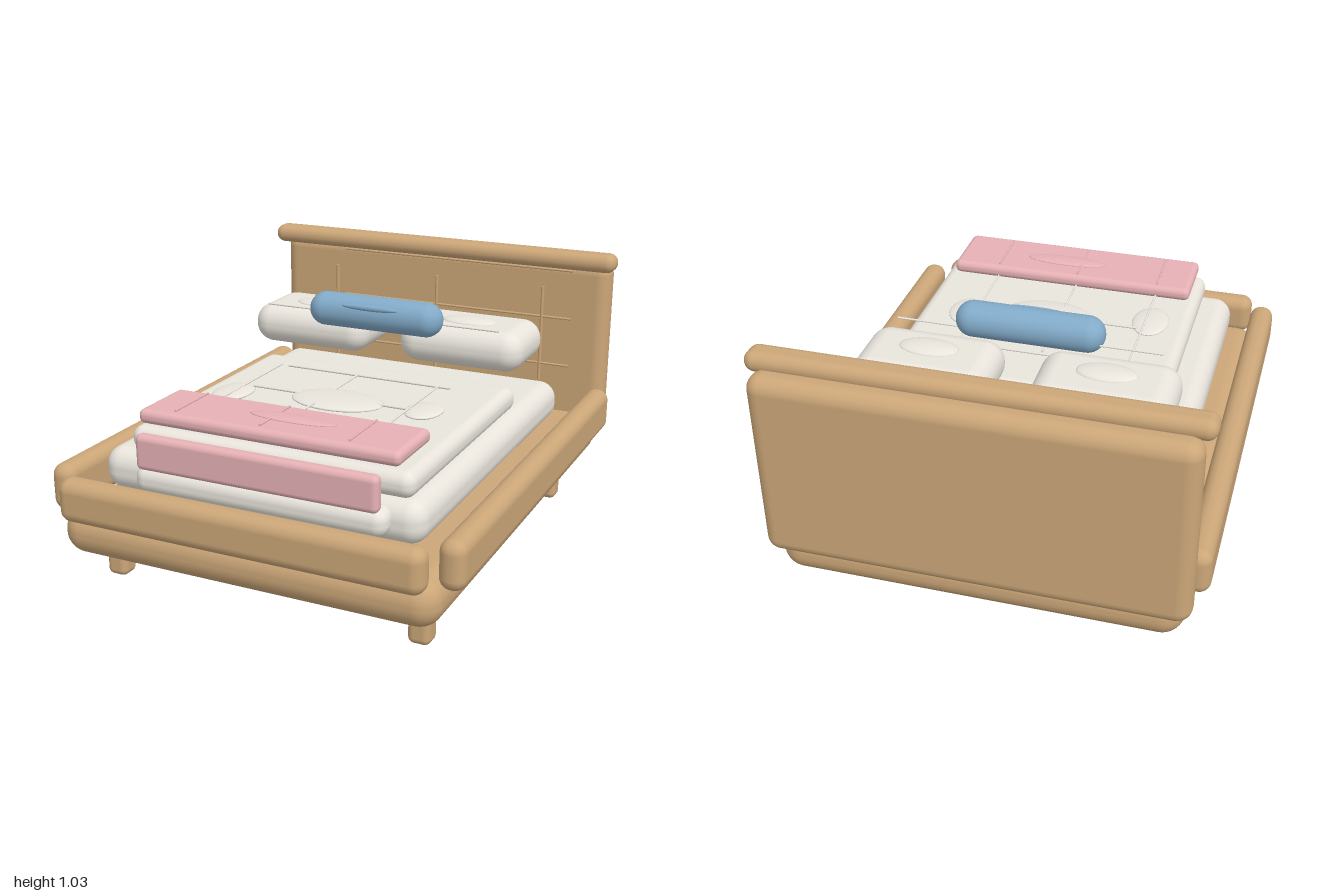
import * as THREE from 'three';
import { RoundedBoxGeometry } from 'three/addons/geometries/RoundedBoxGeometry.js';

const paint = (color) => new THREE.MeshStandardMaterial({ color });

export function createModel() {
  const model = new THREE.Group();
  model.name = 'bed';
  const wood = paint(0xcba678), linen = paint(0xe9e5dd), pink = paint(0xe6b1b5), blue = paint(0x82abc9);

  const add = (name, geometry, material, x, y, z) => {
    const mesh = new THREE.Mesh(geometry, material);
    mesh.name = name;
    mesh.position.set(x, y, z);
    model.add(mesh);
    return mesh;
  };

  // Soft-edged block given by its extents on each axis
  const block = (name, material, [x0, x1], [y0, y1], [z0, z1], radius) =>
    add(name, new RoundedBoxGeometry(x1 - x0, y1 - y0, z1 - z0, 5, radius), material,
      (x0 + x1) / 2, (y0 + y1) / 2, (z0 + z1) / 2);

  // Flattened oval tuft
  const oval = (name, material, x, y, z, rx, ry, rz) =>
    add(name, new THREE.SphereGeometry(1, 32, 16), material, x, y, z).scale.set(rx, ry, rz);

  // Thin straight seam or rod between two points
  const seam = (name, material, from, to, radius = 0.005) => {
    const a = new THREE.Vector3(...from), b = new THREE.Vector3(...to);
    const mid = a.clone().add(b).multiplyScalar(0.5);
    const mesh = add(name, new THREE.CylinderGeometry(radius, radius, a.distanceTo(b), 10), material, mid.x, mid.y, mid.z);
    mesh.quaternion.setFromUnitVectors(new THREE.Vector3(0, 1, 0), b.sub(a).normalize());
  };

  // Wooden frame
  block('base', wood, [-0.74, 0.74], [0.135, 0.315], [-0.965, 0.96], 0.085);
  block('headboard', wood, [-0.77, 0.77], [0.25, 0.985], [-1, -0.878], 0.055);
  block('headboardCap', wood, [-0.8, 0.8], [0.957, 1.035], [-0.925, -0.82], 0.038);
  block('footRail', wood, [-0.709, 0.709], [0.283, 0.448], [0.9, 1], 0.045);
  for (const s of [-1, 1]) {
    const side = s > 0 ? 'left' : 'right';
    block(side + 'SideRail', wood, [s * 0.763 - 0.048, s * 0.763 + 0.048], [0.275, 0.455], [-0.86, 0.9], 0.045);
    for (const [end, z] of [['Front', 0.753], ['Back', -0.655]])
      block(side + end + 'Leg', wood, [s * 0.615 - 0.042, s * 0.615 + 0.042], [0, 0.117], [z - 0.042, z + 0.042], 0.025);
  }

  // Slender rods on the headboard face
  for (const x of [-0.49, 0, 0.49])
    seam('headboardUpright', wood, [x, 0.45, -0.855], [x, 0.87, -0.855], 0.007);
  for (const y of [0.95, 0.74, 0.53])
    seam('headboardCrossRod', wood, [-0.45, y, -0.855], [0.62, y, -0.855]);

  // Mattress and bedding
  block('mattress', linen, [-0.635, 0.635], [0.36, 0.522], [-0.685, 0.82], 0.07);
  block('sheetFold', linen, [-0.456, 0.525], [0.4, 0.503], [0.77, 0.88], 0.045);
  block('blanket', linen, [-0.518, 0.59], [0.521, 0.616], [-0.249, 0.797], 0.043);
  block('throwTop', pink, [-0.482, 0.54], [0.63, 0.684], [0.512, 0.79], 0.024);
  block('throwDrop', pink, [-0.44, 0.5], [0.491, 0.624], [0.828, 0.88], 0.022);

  // Seams running along and across the blanket and throw
  for (const x of [-0.342, 0, 0.342]) {
    seam('blanketLongSeam', linen, [x, 0.642, -0.037], [x, 0.642, 0.6], 0.004);
    seam('throwSeam', pink, [x, 0.688, 0.535], [x, 0.688, 0.755], 0.004);
  }
  for (const z of [-0.046, 0.245])
    seam('blanketCrossSeam', linen, [-0.317, 0.636, z], [0.386, 0.636, z]);

  // Oval tufts
  oval('blanketTuft', linen, 0.052, 0.632, 0.255, 0.185, 0.016, 0.117);
  oval('blanketTuft', linen, -0.36, 0.628, 0.322, 0.074, 0.014, 0.112);
  oval('blanketTuft', linen, 0.388, 0.628, 0.214, 0.071, 0.014, 0.098);
  oval('throwTuft', pink, 0.07, 0.685, 0.641, 0.17, 0.01, 0.042);

  // Pillows, front edge piping and bolster
  for (const s of [-1, 1]) {
    block(s > 0 ? 'leftPillow' : 'rightPillow', linen,
      [s * 0.334 - 0.262, s * 0.334 + 0.262], [0.652, 0.816], [-0.574, -0.23], 0.078);
    oval('pillowTuft', linen, s * 0.334, 0.815, -0.385, 0.114, 0.018, 0.061);
  }
  seam('pillowPiping', linen, [-0.51, 0.83, -0.235], [0.51, 0.83, -0.235], 0.004);
  block('bolster', blue, [-0.287, 0.287], [0.783, 0.921], [-0.27, -0.132], 0.068);
  oval('bolsterTuft', blue, 0, 0.888, -0.139, 0.122, 0.012, 0.01);

  return model;
}
